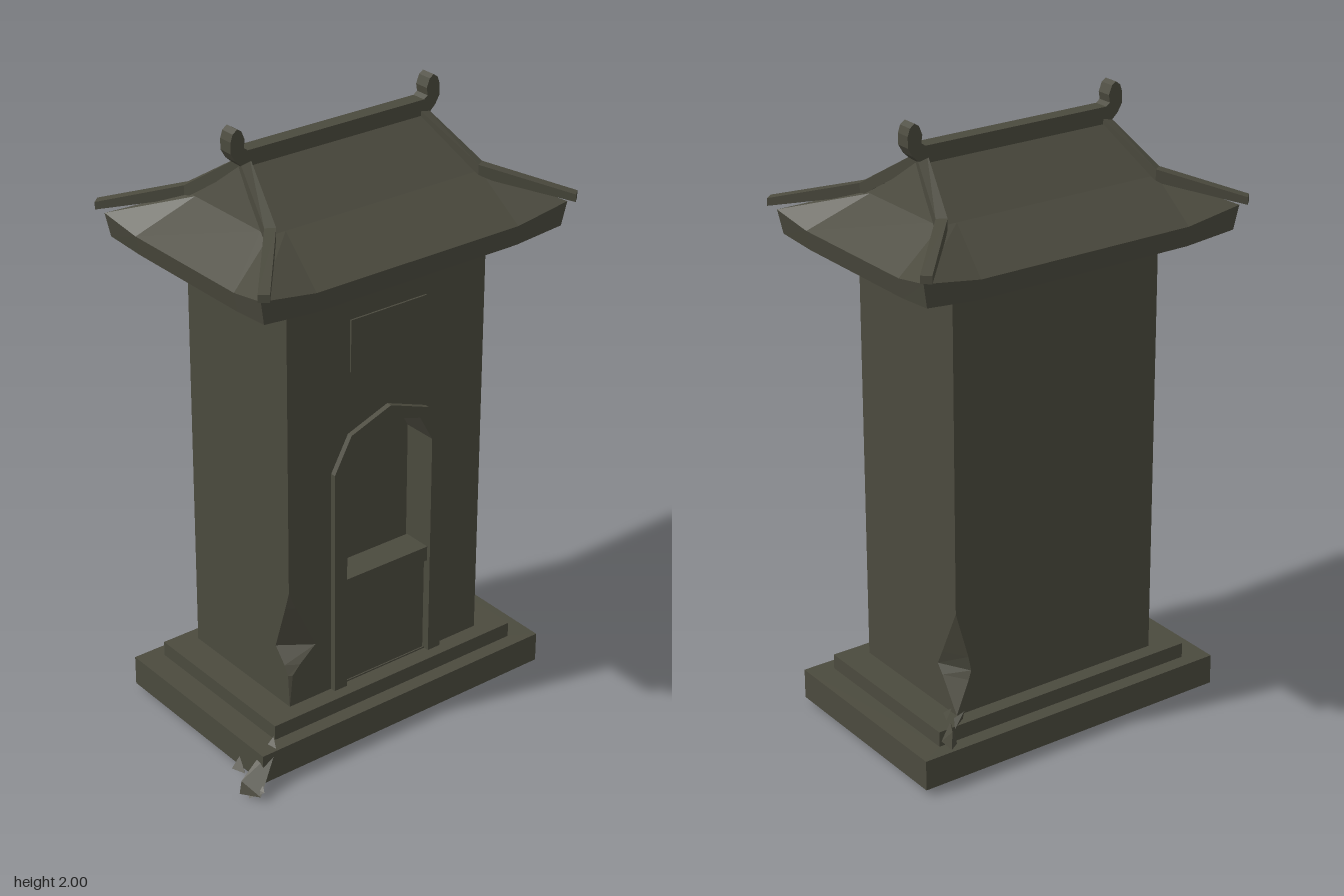
import * as THREE from 'three';
import { ConvexGeometry } from 'three/addons/geometries/ConvexGeometry.js';

const stone = new THREE.MeshStandardMaterial({ color: 0x4b4a3e });
stone.name = 'weathered stone';

function add(parent, name, geometry, x = 0, y = 0, z = 0) {
  const mesh = new THREE.Mesh(geometry, stone);
  mesh.name = name;
  mesh.position.set(x, y, z);
  parent.add(mesh);
  return mesh;
}

const box = (parent, name, w, y0, y1, z0, z1) =>
  add(parent, name, new THREE.BoxGeometry(w, y1 - y0, z1 - z0), 0, (y0 + y1) / 2, (z0 + z1) / 2);

// Flat-shaded skin over rings of points; rings run counterclockwise seen from the last ring's side
function loft(rings, { skip = -1, caps = false } = {}) {
  const pos = [];
  const tri = (...pts) => pts.forEach((p) => pos.push(...p));
  const n = rings[0].length;
  for (let i = 0; i + 1 < rings.length; i++) {
    for (let j = 0; j < n; j++) {
      if (j === skip) continue;
      const k = (j + 1) % n;
      const [a, b, c, d] = [rings[i][j], rings[i][k], rings[i + 1][k], rings[i + 1][j]];
      tri(a, b, c);
      tri(a, c, d);
    }
  }
  if (caps) {
    const first = rings[0], last = rings[rings.length - 1];
    for (let j = 1; j + 1 < n; j++) {
      tri(first[0], first[j + 1], first[j]);
      tri(last[0], last[j], last[j + 1]);
    }
  }
  const g = new THREE.BufferGeometry();
  g.setAttribute('position', new THREE.Float32BufferAttribute(pos, 3));
  g.computeVertexNormals();
  return g;
}

const shapeOf = (pts) => new THREE.Shape(pts.map(([x, y]) => new THREE.Vector2(x, y)));

// Pointed arch outline, from bottom right over the top to bottom left
const arch = (w, spring, shoulderX, shoulderY, top) => [
  [w, 0.17], [w, spring], [shoulderX, shoulderY], [0, top],
  [-shoulderX, shoulderY], [-w, spring], [-w, 0.17],
];

const BX = 0.375, BZ = 0.245;
const inner = arch(0.165, 0.94, 0.115, 1.03, 1.065);
const outer = arch(0.213, 0.94, 0.15, 1.055, 1.11);

// Two-step plinth, hollow from below
function buildBase(parent) {
  const rect = (hx, hz, y) => [[-hx, y, hz], [hx, y, hz], [hx, y, -hz], [-hx, y, -hz]];
  add(parent, 'steppedBase', loft([
    rect(0.552, 0.342, 0.11), rect(0.552, 0.342, 0.02), rect(0.556, 0.346, 0.02),
    rect(0.556, 0.346, 0.12), rect(0.474, 0.298, 0.12), rect(0.474, 0.298, 0.17),
  ], { caps: true }), 0, 0, 0.003);
}

function buildBody(parent) {
  const body = new THREE.Group();
  body.name = 'body';
  parent.add(body);

  // Side and back walls, with a broken notch in two opposite corners
  const ring = (y, fx, fz, bx, bz) => [
    [-BX + fx, y, BZ], [BX, y, BZ], [BX, y, -BZ + bz],
    [BX - bx, y, -BZ], [-BX, y, -BZ], [-BX, y, BZ - fz],
  ];
  add(body, 'walls', loft([
    ring(0.17, 0, 0, 0, 0),
    ring(0.28, 0.012, 0.008, 0.045, 0.075),
    ring(0.31, 0.04, 0.025, 0.055, 0.1),
    ring(0.36, 0.1, 0.07, 0.045, 0.075),
    ring(0.52, 0.025, 0.018, 0, 0),
    ring(0.58, 0, 0, 0, 0),
    ring(1.55, 0, 0, 0, 0),
  ], { skip: 0 }));

  // Front wall with the arched opening
  const front = shapeOf([
    [-BX, 0.17], [BX, 0.17], [BX, 1.55], [-BX, 1.55], [-BX, 0.58],
    [-BX + 0.025, 0.52], [-BX + 0.1, 0.36], [-BX + 0.04, 0.31], [-BX + 0.012, 0.28],
  ]);
  const hole = inner.map(([x, y]) => new THREE.Vector2(x, Math.max(y, 0.175)));
  front.holes.push(new THREE.Path(hole));
  add(body, 'frontWall', new THREE.ShapeGeometry(front), 0, 0, BZ);

  // Niche behind the opening
  const jamb = (z) => inner.map(([x, y]) => [x, y, z]);
  add(body, 'nicheWalls', loft([jamb(BZ), jamb(0.145)]));
  add(body, 'nicheBack', new THREE.ShapeGeometry(shapeOf(inner)), 0, 0, 0.145);

  // Frame, lower panel, sill and plaque
  const frame = shapeOf([...outer, ...[...inner].reverse()]);
  add(body, 'archFrame', new THREE.ExtrudeGeometry(frame, { depth: 0.03, bevelEnabled: false }), 0, 0, 0.233);
  box(body, 'lowerPanel', 0.33, 0.17, 0.51, 0.15, 0.235);
  box(body, 'sill', 0.33, 0.5, 0.55, 0.15, 0.25);
  box(body, 'plaque', 0.287, 1.26, 1.43, 0.243, 0.251);
}

function buildRoof(parent) {
  const roof = new THREE.Group();
  roof.name = 'roof';
  parent.add(roof);

  // Each level: corners plus two inner points per side, so the eaves can sweep up at the corners
  const level = (hx, hz, yCorner, yMid, mx, mz, cz = 0, bow = 0) => {
    const pts = [];
    for (const [sx, sz] of [[-1, 1], [1, 1], [1, -1], [-1, -1]]) {
      const onX = [sx * hx * mx, yMid, cz + sz * hz];
      const onZ = [sx * (hx - bow), yMid, cz + sz * hz * mz];
      const corner = [sx * hx, yCorner, cz + sz * hz];
      pts.push(...(sx * sz < 0 ? [onZ, corner, onX] : [onX, corner, onZ]));
    }
    return pts;
  };
  add(roof, 'roofShell', loft([
    level(BX, BZ, 1.53, 1.53, 1, 1),
    level(0.553, 0.38, 1.588, 1.573, 0.68, 0.64, 0, 0.01),
    level(0.568, 0.387, 1.665, 1.636, 0.66, 0.63, 0, 0.012),
    level(0.392, 0.2, 1.745, 1.745, 0.85, 0.8, -0.01),
    level(0.335, 0.001, 1.895, 1.895, 0.9, 0.9, -0.02),
  ]));

  // Hip ridges, bent at the kink and tapering out past the eave corners
  for (const sx of [-1, 1]) {
    for (const sz of [-1, 1]) {
      const path = [[0.325, 1.885, 0, -0.02], [0.39, 1.75, 0.205, -0.012], [0.578, 1.688, 0.415, 0]]
        .map(([x, y, z, cz]) => new THREE.Vector3(sx * x, y, sz * z + cz));
      const rings = path.map((p, i) => {
        const d = path[Math.min(i + 1, 2)].clone().sub(path[Math.max(i - 1, 0)]).setY(0).normalize();
        const r = new THREE.Vector3(-d.z, 0, d.x).multiplyScalar(0.017);
        const h = [0.02, 0.02, 0.012][i];
        return [[1, -1], [-1, -1], [-1, 1], [1, 1]].map(([a, b]) =>
          [p.x + a * r.x, p.y + b * h, p.z + a * r.z]);
      });
      add(roof, 'hipRidge', loft(rings, { caps: true }));
    }
  }

  // Top ridge with a curled finial at each end
  box(roof, 'topRidge', 0.67, 1.87, 1.928, -0.046, 0.004);
  const curl = [[0.32, 1.88], [0.345, 1.88], [0.37, 1.903], [0.386, 1.93], [0.386, 1.965], [0.378, 1.988],
    [0.362, 2.0], [0.347, 1.99], [0.336, 1.962], [0.34, 1.938], [0.322, 1.925]];
  for (const s of [-1, 1]) {
    const g = new THREE.ExtrudeGeometry(shapeOf(curl.map(([x, y]) => [s * x, y])), { depth: 0.05, bevelEnabled: false });
    add(roof, 'finial', g, 0, 0, -0.046);
  }
}

// Broken stone fragments around the base
function buildRubble(parent) {
  const shards = [
    [[-0.636, 0.01, 0.335], [-0.625, 0.05, 0.33], [-0.48, 0.135, 0.3], [-0.5, 0.12, 0.34], [-0.6, 0.015, 0.395], [-0.555, 0.05, 0.36]],
    [[-0.61, 0.05, 0.26], [-0.573, 0.075, 0.25], [-0.585, 0.04, 0.295], [-0.57, 0.03, 0.27]],
    [[-0.62, 0, 0.36], [-0.59, 0.03, 0.4], [-0.57, 0.05, 0.36], [-0.6, 0.03, 0.34]],
    [[0.37, 0.17, -0.27], [0.375, 0.205, -0.285], [0.41, 0.19, -0.28], [0.42, 0.165, -0.3], [0.39, 0.165, -0.25]],
    [[0.42, 0.12, -0.31], [0.43, 0.19, -0.29], [0.45, 0.18, -0.33], [0.46, 0.125, -0.34], [0.47, 0.14, -0.3]],
    [[0.38, 0.165, -0.21], [0.39, 0.2, -0.24], [0.42, 0.165, -0.25], [0.4, 0.165, -0.2]],
  ];
  for (const pts of shards) {
    add(parent, 'rubble', new ConvexGeometry(pts.map((p) => new THREE.Vector3(...p))));
  }
}

export function createModel() {
  const group = new THREE.Group();
  group.name = 'shrine';
  const shrine = new THREE.Group();
  shrine.name = 'structure';
  shrine.position.x = 0.02;
  group.add(shrine);

  buildBase(shrine);
  buildBody(shrine);
  buildRoof(shrine);
  buildRubble(shrine);
  return group;
}
